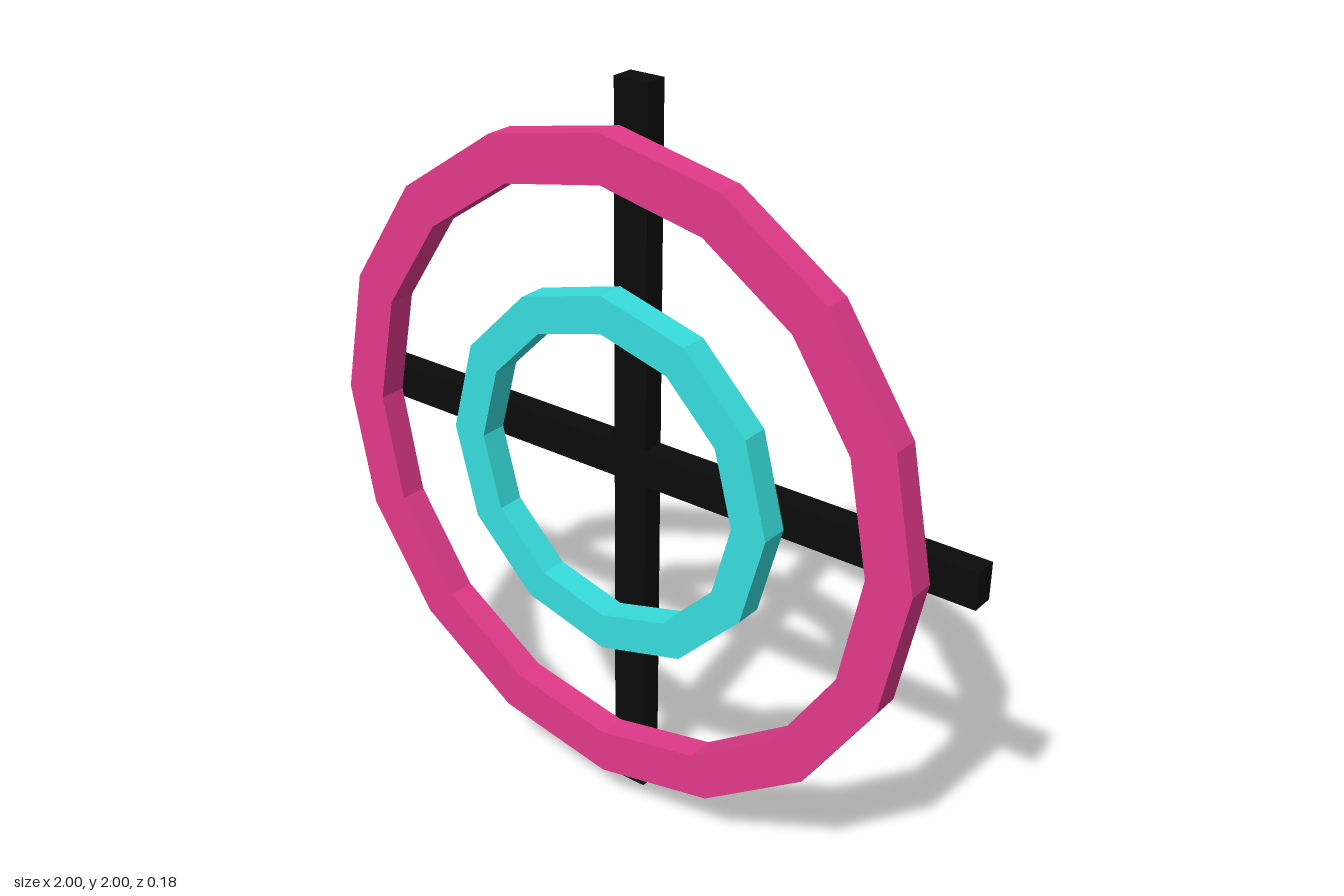
import * as THREE from 'three';

const material = (name, color) => {
  const m = new THREE.MeshStandardMaterial({ color });
  m.name = name;
  return m;
};

// Flat-faced ring with a rectangular section, axis along z
function ring(name, outer, inner, sides, mat) {
  const corners = (r) => Array.from({ length: sides }, (_, i) => {
    const a = (i / sides) * Math.PI * 2;
    return new THREE.Vector2(r * Math.cos(a), r * Math.sin(a));
  });
  const shape = new THREE.Shape(corners(outer));
  shape.holes.push(new THREE.Path(corners(inner).reverse()));
  const geo = new THREE.ExtrudeGeometry(shape, { depth: 0.077, bevelEnabled: false });
  const mesh = new THREE.Mesh(geo, mat);
  mesh.name = name;
  mesh.position.set(0, 1, 0.013);
  return mesh;
}

export function createModel() {
  const group = new THREE.Group();
  group.name = 'ringTarget';
  const black = material('black', 0x0b0b0b);
  const pink = material('pink', 0xe23a8a);
  const teal = material('teal', 0x38dede);

  // Crossed support bars behind the rings
  const bars = [['verticalBar', 0.1, 2], ['horizontalBar', 2, 0.1]];
  for (const [name, w, h] of bars) {
    const bar = new THREE.Mesh(new THREE.BoxGeometry(w, h, 0.063), black);
    bar.name = name;
    bar.position.set(0, 1, -0.0575);
    group.add(bar);
  }

  // Concentric rings
  group.add(ring('outerRing', 0.9, 0.775, 16, pink));
  group.add(ring('innerRing', 0.5, 0.4, 12, teal));

  // Short pegs joining the outer ring to the bars
  const pegGeo = new THREE.CylinderGeometry(0.0325, 0.0325, 0.05, 12).rotateX(Math.PI / 2);
  for (let i = 0; i < 4; i++) {
    const a = (i * Math.PI) / 2;
    const peg = new THREE.Mesh(pegGeo, black);
    peg.name = 'peg';
    peg.position.set(0.838 * Math.cos(a), 1 + 0.838 * Math.sin(a), -0.006);
    group.add(peg);
  }
  return group;
}
